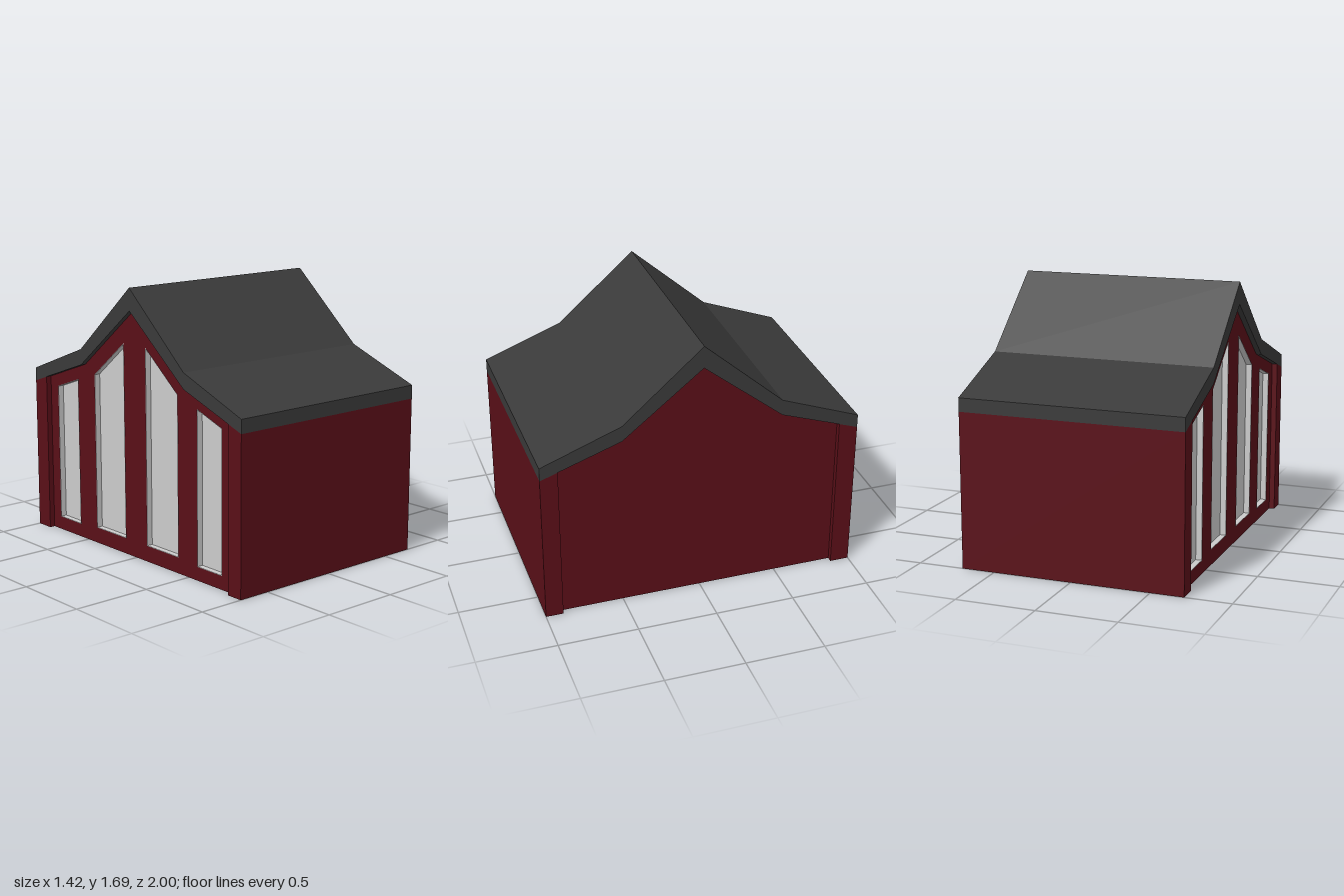
import * as THREE from 'three';

const red = new THREE.MeshStandardMaterial({ color: 0x5a0f18 });
const slate = new THREE.MeshStandardMaterial({ color: 0x3a3a3a });
const grey = new THREE.MeshStandardMaterial({ color: 0xcccccc });

const HALF = 0.71;      // half width of roof and end walls
const SIDE = 0.675;     // half width at the recessed side walls
const REVEAL = 0.04;    // depth of the window openings
const FRONT = 0.89, BACK = -0.88; // inner faces of the end walls

// Height of the underside of the roof at depth z
function eave(z) {
  const a = Math.abs(z);
  return a < 0.5 ? 1.55 - 0.8 * a : 1.15 - 0.35 * (a - 0.5);
}

// Points along the underside of the roof, from z1 down to z0
function eaveLine(z0, z1, drop = 0) {
  const inner = [0.5, 0, -0.5].filter((z) => z < z1 && z > z0);
  return [z1, ...inner, z0].map((z) => [z, eave(z) - drop]);
}

// Wall outline (z, y) with its top following the roof
const outline = (z0, z1, bottom = 0, drop = 0) =>
  [[z0, bottom], [z1, bottom], ...eaveLine(z0, z1, drop)];

const toVectors = (points) => points.map(([z, y]) => new THREE.Vector2(z, y));

// Extrude a (z, y) outline from x0 to x1
function slab(name, points, x0, x1, material, holes = []) {
  const shape = new THREE.Shape(toVectors(points));
  for (const h of holes) shape.holes.push(new THREE.Path(toVectors(h)));
  const geo = new THREE.ExtrudeGeometry(shape, { depth: x1 - x0, bevelEnabled: false });
  geo.rotateY(-Math.PI / 2);
  geo.translate(x1, 0, 0);
  const mesh = new THREE.Mesh(geo, material);
  mesh.name = name;
  return mesh;
}

export function createModel() {
  const model = new THREE.Group();
  model.name = 'gabledHouse';

  // Window openings: tall pair by the ridge, shorter pair by the eaves
  const windows = [];
  for (const [near, far, sill, drop] of [[0.105, 0.405, 0.1, 0.128], [0.58, 0.8, 0.085, 0.08]]) {
    for (const [z0, z1] of [[near, far], [-far, -near]]) {
      windows.push({ z0, z1, sill, drop });
    }
  }
  const opening = ({ z0, z1, sill, drop }) => outline(z0, z1, sill, drop);

  // Main body and the window wall on its right
  model.add(slab('body', outline(BACK, FRONT), -SIDE + REVEAL, SIDE, red));
  model.add(slab('windowWall', outline(BACK, FRONT), -SIDE, -SIDE + REVEAL, red, windows.map(opening)));

  // End walls, standing slightly proud of the sides
  model.add(slab('frontWall', outline(FRONT, 1), -HALF, HALF, red));
  model.add(slab('backWall', outline(-1, BACK), -HALF, HALF, red));

  // Windows: recessed pane and a thin lining around each opening
  for (const w of windows) {
    const t = 0.003;
    const inner = outline(w.z0 + t, w.z1 - t, w.sill + t, w.drop + t);
    const group = new THREE.Group();
    group.name = 'window';
    group.add(slab('pane', opening(w), -SIDE + REVEAL - 0.003, -SIDE + REVEAL, grey));
    group.add(slab('lining', opening(w), -SIDE - 0.001, -SIDE + REVEAL - 0.003, grey, [inner]));
    model.add(group);
  }

  // Roof with a steep centre and shallower eaves
  const roofTop = [[-1, 1.06], [-0.5, 1.25], [0, 1.69], [0.5, 1.25], [1, 1.06]];
  model.add(slab('roof', [...eaveLine(-1, 1), ...roofTop], -HALF, HALF, slate));

  return model;
}
